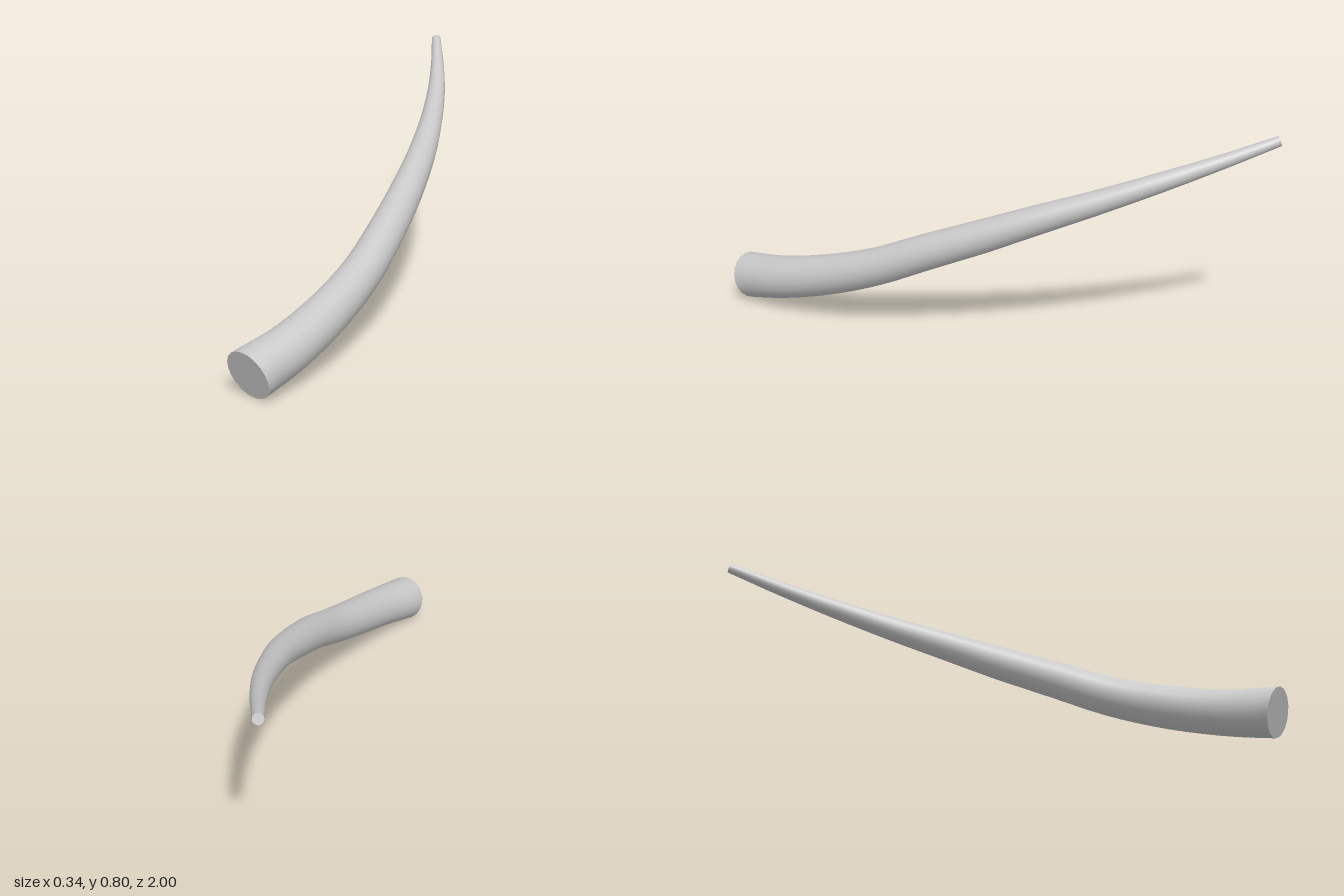
import * as THREE from 'three';

const SIDES = 20;
const RINGS = 36;

// Centreline stations from root to tip: x, y, z, radius
const STATIONS = [
  [-0.09, 0.085, 0.96, 0.087],
  [-0.02, 0.122, 0.8, 0.08],
  [0.038, 0.178, 0.6, 0.075],
  [0.079, 0.248, 0.4, 0.069],
  [0.099, 0.335, 0.2, 0.065],
  [0.103, 0.415, 0, 0.06],
  [0.096, 0.495, -0.2, 0.052],
  [0.072, 0.568, -0.4, 0.043],
  [0.034, 0.642, -0.6, 0.035],
  [-0.02, 0.715, -0.8, 0.026],
  [-0.083, 0.788, -0.993, 0.018],
];

// One ring of points perpendicular to the given direction
function makeRing(center, direction, radius) {
  const u = new THREE.Vector3(0, 1, 0).cross(direction).normalize();
  const v = new THREE.Vector3().crossVectors(direction, u);
  return Array.from({ length: SIDES }, (_, j) => {
    const a = (j / SIDES) * Math.PI * 2;
    return center.clone()
      .addScaledVector(u, Math.cos(a) * radius)
      .addScaledVector(v, Math.sin(a) * radius);
  });
}

function makeGeometry(points, index) {
  const geometry = new THREE.BufferGeometry().setFromPoints(points);
  geometry.setIndex(index);
  geometry.computeVertexNormals();
  return geometry;
}

// Flat end disc closing a ring
function makeCap(ring, center, facesTip) {
  const index = [];
  for (let j = 0; j < SIDES; j++) {
    const k = (j + 1) % SIDES;
    index.push(SIDES, ...(facesTip ? [j, k] : [k, j]));
  }
  return makeGeometry([...ring, center], index);
}

export function createModel() {
  const group = new THREE.Group();
  group.name = 'tusk';
  const ivory = new THREE.MeshStandardMaterial({ color: 0xc8c8c8 });
  ivory.name = 'pale grey';

  const path = new THREE.CatmullRomCurve3(STATIONS.map(([x, y, z]) => new THREE.Vector3(x, y, z)));
  const rootDirection = new THREE.Vector3(0.41, 0.33, -1).normalize();

  // Tapering rings swept along the curve; the root is cut slightly askew
  const rings = [];
  for (let i = 0; i <= RINGS; i++) {
    const t = i / RINGS;
    const s = t * (STATIONS.length - 1);
    const k = Math.min(Math.floor(s), STATIONS.length - 2);
    const radius = THREE.MathUtils.lerp(STATIONS[k][3], STATIONS[k + 1][3], s - k);
    const direction = path.getTangent(t).lerp(rootDirection, Math.max(0, 1 - t * 8)).normalize();
    rings.push(makeRing(path.getPoint(t), direction, radius));
  }

  const index = [];
  for (let i = 0; i < RINGS; i++) {
    for (let j = 0; j < SIDES; j++) {
      const k = (j + 1) % SIDES;
      const a = i * SIDES + j, b = i * SIDES + k;
      index.push(a, b, a + SIDES, b, b + SIDES, a + SIDES);
    }
  }

  const add = (name, geometry) => {
    const mesh = new THREE.Mesh(geometry, ivory);
    mesh.name = name;
    group.add(mesh);
  };
  add('tuskBody', makeGeometry(rings.flat(), index));
  add('rootCap', makeCap(rings[0], path.getPoint(0), false));
  add('tipCap', makeCap(rings[RINGS], path.getPoint(1), true));
  return group;
}
